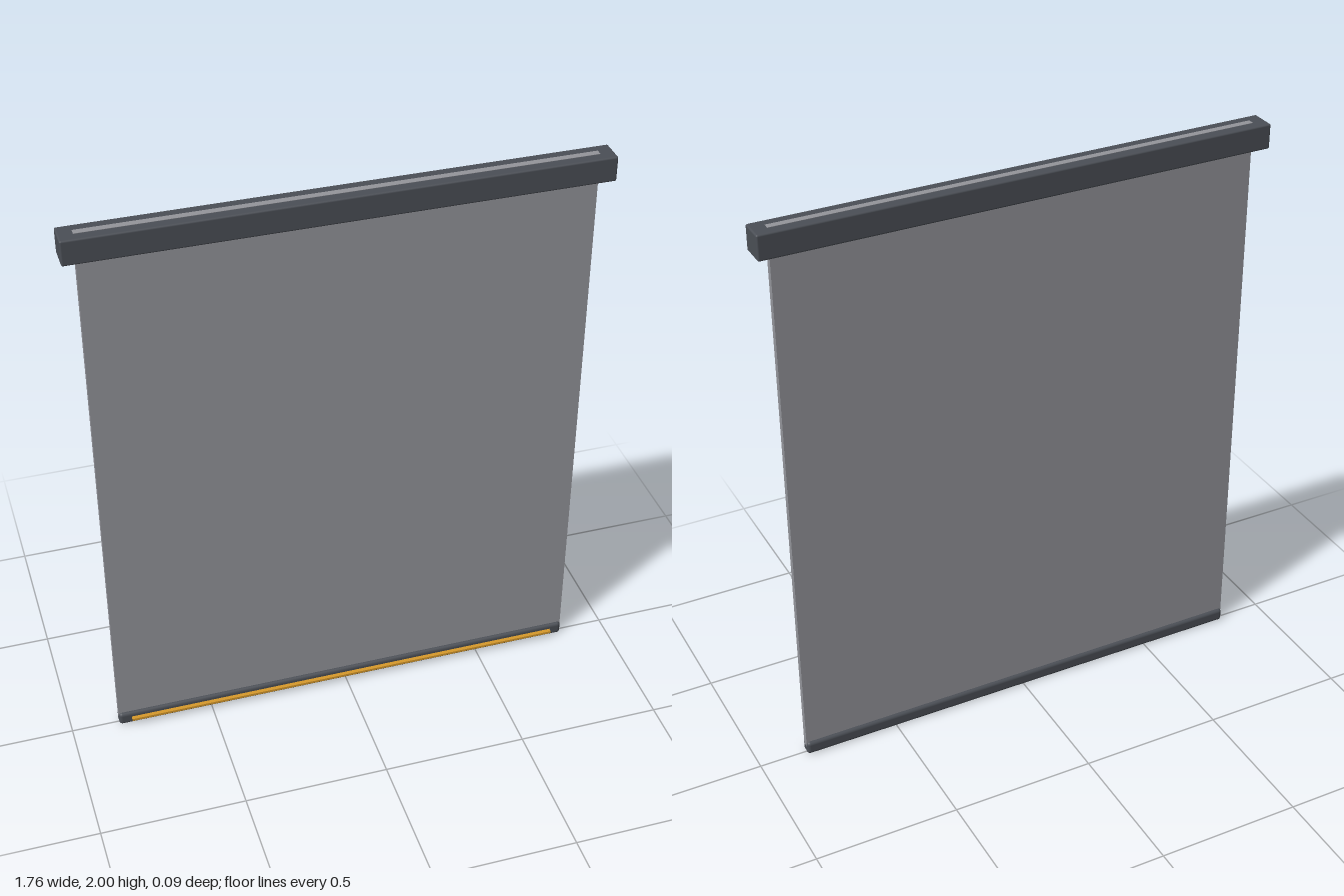
import * as THREE from 'three';
import { RoundedBoxGeometry } from 'three/addons/geometries/RoundedBoxGeometry.js';

export function createModel() {
  const group = new THREE.Group();
  const dark = new THREE.MeshStandardMaterial({ color: 0x4b4f56 });
  const cloth = new THREE.MeshStandardMaterial({ color: 0x94959b });
  const gold = new THREE.MeshStandardMaterial({ color: 0xd79a2b });

  // Adds a part spanning y0..y1, centred on x
  function add(name, geometry, material, y0, y1, z = 0) {
    const mesh = new THREE.Mesh(geometry, material);
    mesh.name = name;
    mesh.position.set(0, (y0 + y1) / 2, z);
    group.add(mesh);
  }

  // Housing at the top with softly rounded edges
  add('cassette', new RoundedBoxGeometry(1.764, 0.086, 0.09, 3, 0.006), dark, 1.913, 1.999);

  // Hanging screen, its top edge just showing through the housing
  add('fabric', new THREE.BoxGeometry(1.668, 1.97, 0.022), cloth, 0.03, 2.0);

  // Weighted bar along the lower hem
  add('bottomBar', new RoundedBoxGeometry(1.668, 0.048, 0.044, 4, 0.012), dark, 0, 0.048);

  // Accent strip on the front of the bar
  add('accentStrip', new THREE.BoxGeometry(1.58, 0.009, 0.018), gold, 0.0215, 0.0305, 0.027);

  return group;
}
